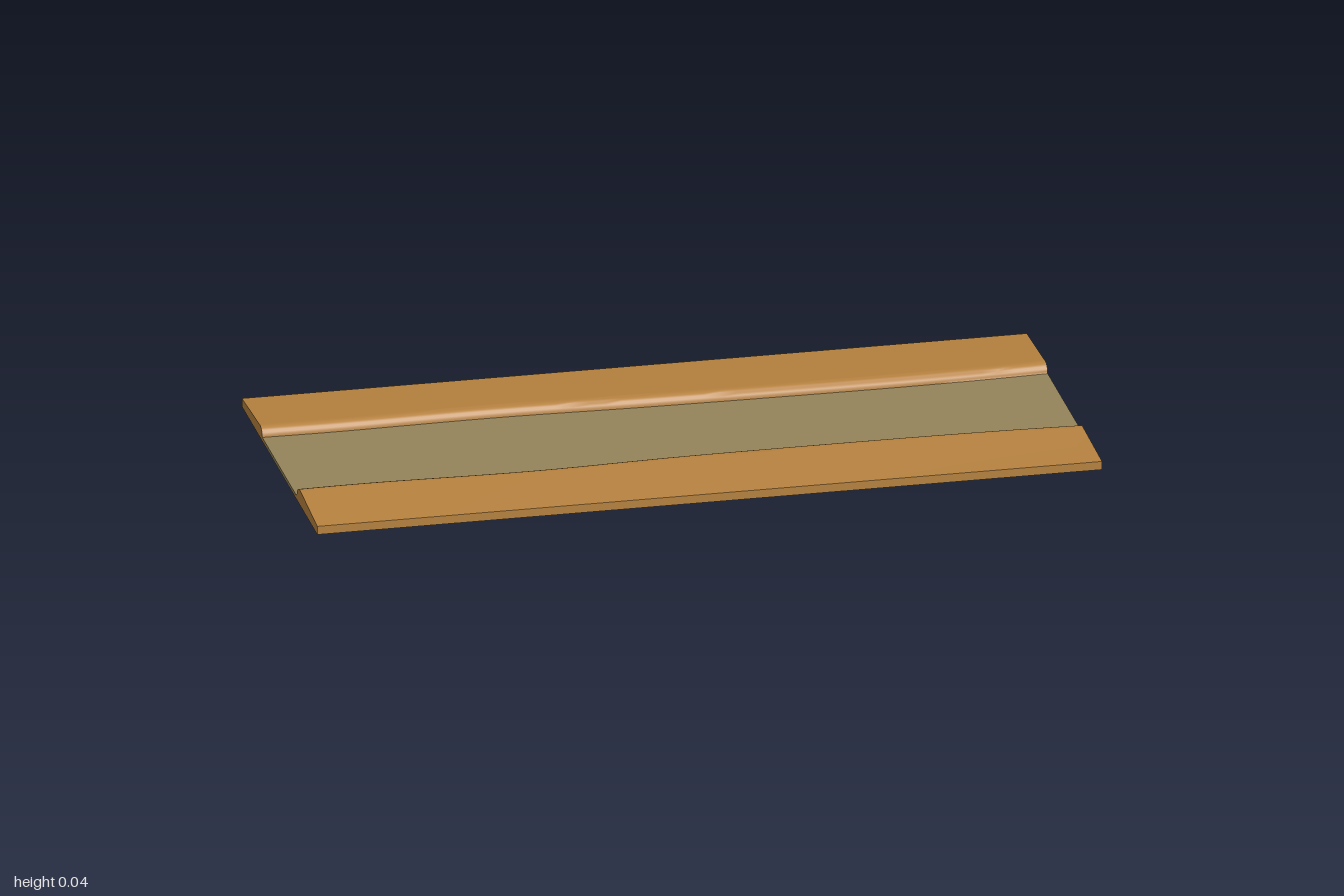
import * as THREE from 'three';
import { toCreasedNormals } from 'three/addons/utils/BufferGeometryUtils.js';

const HALF_DEPTH = 0.435, WATER_Y = 0.01, STEPS = 48;

// smooth curve z(x) through a few [x, z] points
function curve(points) {
  const spline = new THREE.SplineCurve(points.map(p => new THREE.Vector2(...p)));
  const samples = spline.getPoints(300);
  return x => {
    let i = 1;
    while (i < samples.length - 1 && samples[i].x < x) i++;
    const a = samples[i - 1], b = samples[i];
    return THREE.MathUtils.mapLinear(x, a.x, b.x, a.y, b.y);
  };
}

// closed solid along x; section(x) gives [z, y] corners
// running from +z bottom, up, over to -z, and back underneath
function loft(section, creaseAngle) {
  const positions = [], index = [];
  let n = 0;
  for (let s = 0; s <= STEPS; s++) {
    const x = -1 + 2 * s / STEPS;
    const ring = section(x);
    n = ring.length;
    for (const [z, y] of ring) positions.push(x, y, z);
  }
  for (let s = 0; s < STEPS; s++) {
    for (let i = 0; i < n; i++) {
      const j = (i + 1) % n, a = s * n + i, b = s * n + j;
      index.push(a, a + n, b + n, a, b + n, b);
    }
  }
  // end caps
  const ring = section(-1).map(p => new THREE.Vector2(...p));
  const last = STEPS * n;
  for (const [a, b, c] of THREE.ShapeUtils.triangulateShape(ring, [])) {
    // order each triangle so that the caps face outwards
    const area = (ring[b].x - ring[a].x) * (ring[c].y - ring[a].y)
      - (ring[b].y - ring[a].y) * (ring[c].x - ring[a].x);
    const [p, q] = area > 0 ? [b, c] : [c, b];
    index.push(a, p, q, last + a, last + q, last + p);
  }
  const geometry = new THREE.BufferGeometry();
  geometry.setAttribute('position', new THREE.Float32BufferAttribute(positions, 3));
  geometry.setIndex(index);
  return toCreasedNormals(geometry, creaseAngle);
}

// waterline and underwater foot of each bank, as distance from the centre line
const front = {
  edge: curve([[-1, 0.197], [-0.8, 0.193], [-0.4, 0.2], [0, 0.183], [0.5, 0.178], [0.8, 0.181], [1, 0.188]]),
  foot: curve([[-1, 0.13], [-0.6, 0.165], [-0.15, 0.18], [0.35, 0.15], [1, 0.183]]),
  crest: x => 0.034 - 0.006 * x,
  lip: x => 0.03 - 0.009 * x,
};
const back = {
  edge: curve([[-1, 0.2], [-0.8, 0.197], [-0.4, 0.202], [0, 0.19], [0.5, 0.183], [0.8, 0.185], [1, 0.192]]),
  foot: curve([[-1, 0.115], [-0.5, 0.15], [0, 0.16], [0.5, 0.165], [1, 0.183]]),
  crest: () => 0.033,
  lip: () => 0.026,
};

// bank profile: outer wall, gentle rise to the crest, rounded lip, underwater slope
function bankSection(bank, side) {
  return x => {
    const edge = bank.edge(x), top = bank.crest(x), lip = bank.lip(x);
    const ring = [[HALF_DEPTH, 0], [HALF_DEPTH, 0.022], [edge + lip + 0.012, top - 0.001]];
    for (let i = 0; i <= 6; i++) {
      const t = i / 6 * Math.PI / 2;
      ring.push([edge + lip * (1 - Math.sin(t)), WATER_Y + (top - WATER_Y) * Math.cos(t)]);
    }
    ring.push([bank.foot(x), 0]);
    return side > 0 ? ring : ring.map(([z, y]) => [-z, y]).reverse();
  };
}

export function createModel() {
  const group = new THREE.Group();
  const add = (name, geometry, color) => {
    const mesh = new THREE.Mesh(geometry, new THREE.MeshStandardMaterial({ color }));
    mesh.name = name;
    group.add(mesh);
  };
  add('frontBank', loft(bankSection(front, 1), 0.7), 0xb5813f);
  add('backBank', loft(bankSection(back, -1), 0.7), 0xb5813f);
  // water fills the channel between the two banks
  add('water', loft(x => [
    [front.foot(x), 0], [front.edge(x), WATER_Y],
    [-back.edge(x), WATER_Y], [-back.foot(x), 0],
  ], 0.3), 0x94845a);
  return group;
}
